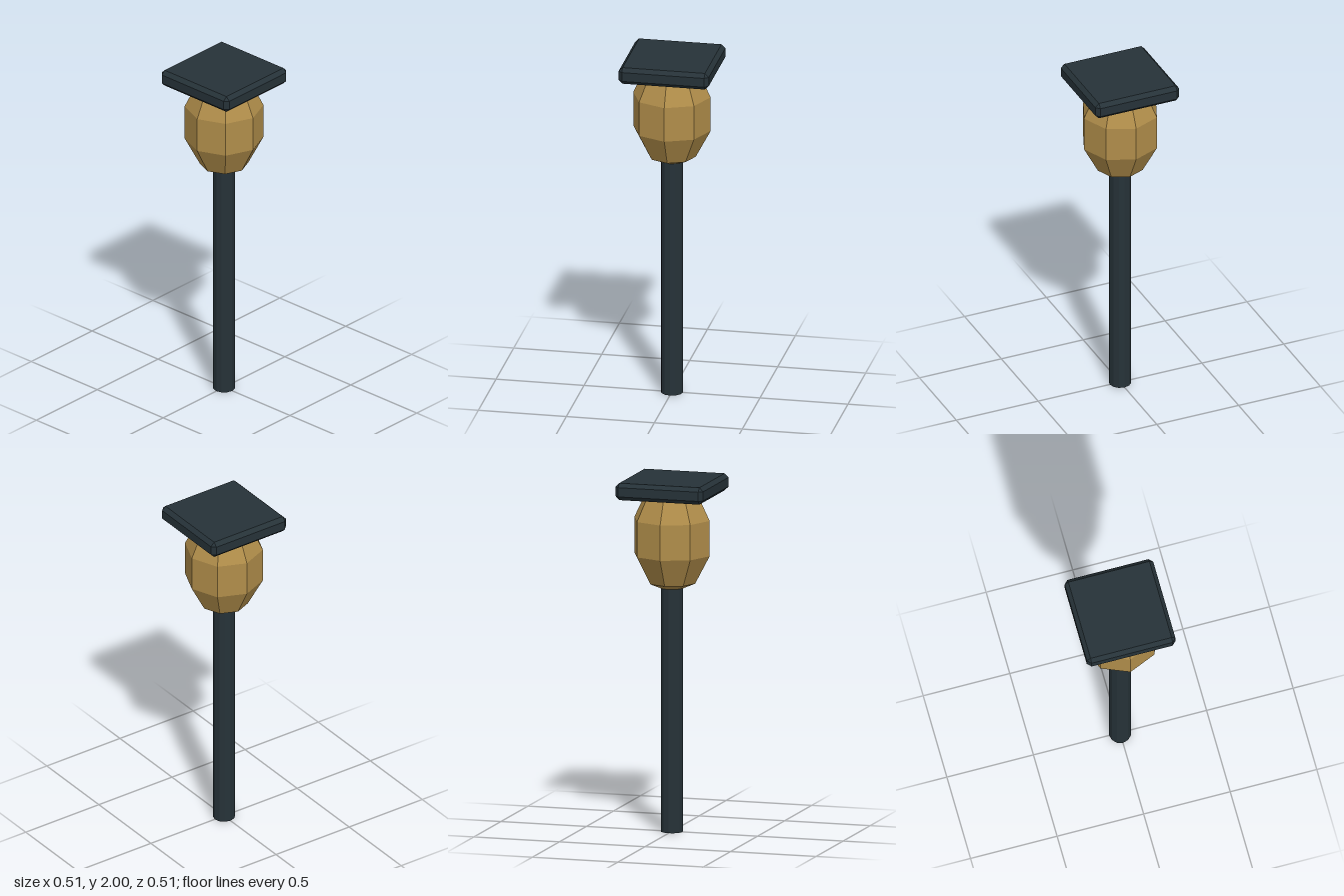
import * as THREE from 'three';
import { ConvexGeometry } from 'three/addons/geometries/ConvexGeometry.js';

const dark = new THREE.MeshStandardMaterial({ color: 0x263238, flatShading: true });
const amber = new THREE.MeshStandardMaterial({ color: 0xb08d4a, flatShading: true });

function addPart(group, name, geometry, material, y = 0) {
  const mesh = new THREE.Mesh(geometry, material);
  mesh.name = name;
  mesh.position.y = y;
  group.add(mesh);
}

// Box with every edge cut by a single flat bevel: three points per corner
function beveledBox(width, height, depth, bevel) {
  const points = [];
  for (const sx of [-1, 1]) for (const sy of [-1, 1]) for (const sz of [-1, 1]) {
    for (let axis = 0; axis < 3; axis++) {
      const half = [width / 2, height / 2, depth / 2].map((h, i) => (i === axis ? h : h - bevel));
      points.push(new THREE.Vector3(sx * half[0], sy * half[1], sz * half[2]));
    }
  }
  return new ConvexGeometry(points);
}

export function createModel() {
  const lamp = new THREE.Group();
  lamp.name = 'streetLamp';

  // Post, running up into the base of the lantern
  addPart(lamp, 'post', new THREE.CylinderGeometry(0.0625, 0.0625, 1.4, 12), dark, 0.7);

  // Eight-sided lantern globe
  const profile = [[0, 1.38], [0.065, 1.38], [0.135, 1.41], [0.22, 1.57], [0.22, 1.77], [0.153, 1.908], [0, 1.908]];
  const globe = new THREE.LatheGeometry(profile.map(([r, y]) => new THREE.Vector2(r, y)), 8);
  addPart(lamp, 'lanternGlobe', globe, amber);

  // Square beveled cap
  addPart(lamp, 'cap', beveledBox(0.512, 0.096, 0.512, 0.022), dark, 1.952);

  return lamp;
}
